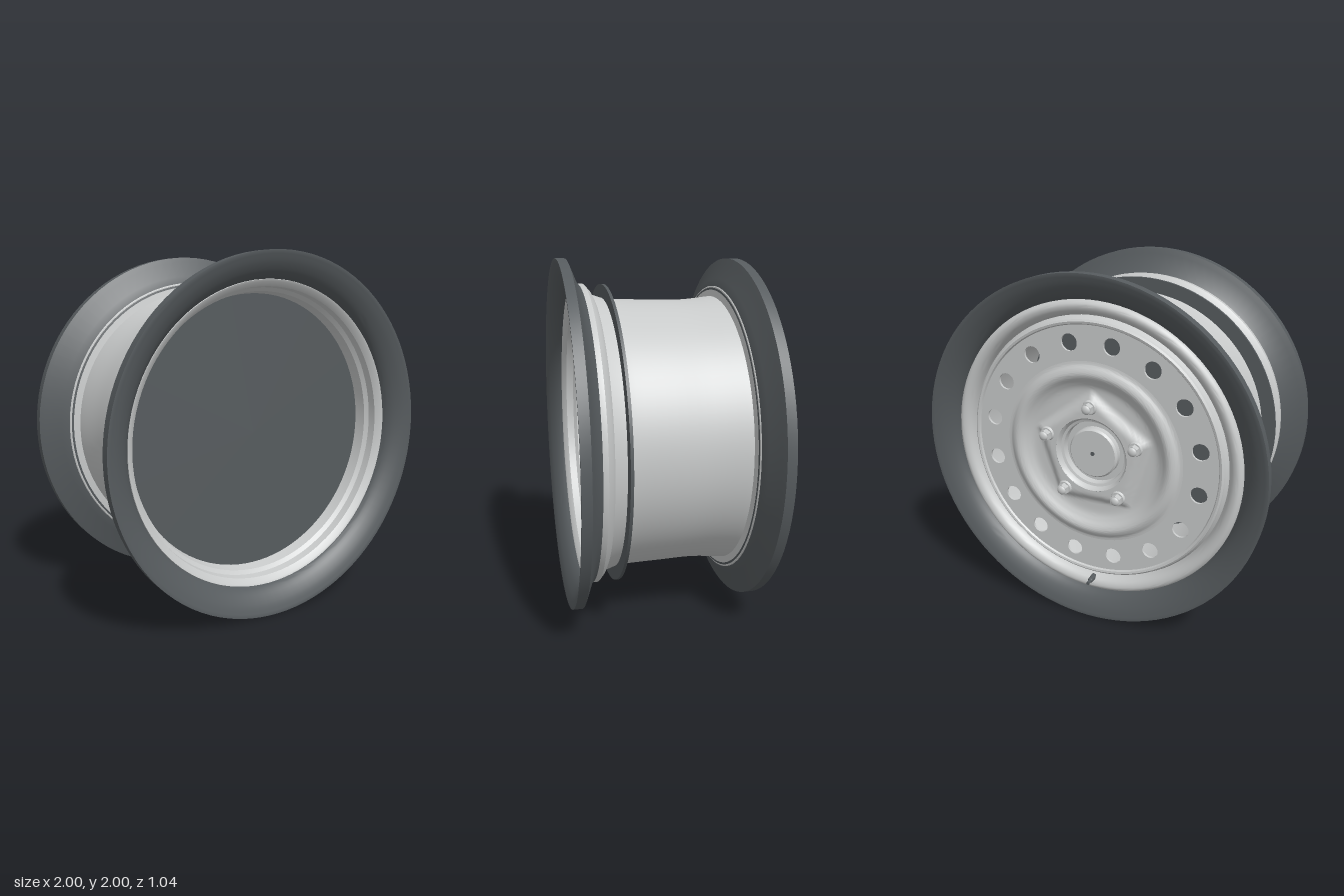
import * as THREE from 'three';
import { toCreasedNormals } from 'three/addons/utils/BufferGeometryUtils.js';

const silver = new THREE.MeshStandardMaterial({ color: 0xc8caca, side: THREE.DoubleSide });
silver.name = 'silver metal';
const dark = new THREE.MeshStandardMaterial({ color: 0x565b5e, side: THREE.DoubleSide });
dark.name = 'dark rubber';

export function createModel() {
  const model = new THREE.Group();
  const wheel = new THREE.Group();
  wheel.name = 'wheel';
  wheel.position.y = 1;
  model.add(wheel);

  const add = (name, geometry, material, x = 0, y = 0, z = 0) => {
    const mesh = new THREE.Mesh(geometry, material);
    mesh.name = name;
    mesh.position.set(x, y, z);
    wheel.add(mesh);
    return mesh;
  };
  // profile of [radius, z] pairs turned about the z axis
  const turn = (profile, segments = 96) =>
    new THREE.LatheGeometry(profile.map(([r, z]) => new THREE.Vector2(r, z)), segments).rotateX(Math.PI / 2);
  const turned = (name, profile, material, segments) =>
    add(name, toCreasedNormals(turn(profile, segments), 0.6), material);
  const smooth = (points, count) =>
    new THREE.SplineCurve(points.map(([r, z]) => new THREE.Vector2(r, z))).getPoints(count).map((p) => [p.x, p.y]);

  // flared dark rings on both ends
  for (const side of [1, -1]) {
    const base = side > 0 ? 0.84 : 0.78;
    const profile = [
      [base, 0.39], [0.83 + (side > 0 ? 0.025 : 0), 0.392], [0.885, 0.42], [0.97, 0.455], [1, 0.468], [1, 0.52], [0.99, 0.52],
      ...smooth([[0.99, 0.52], [0.94, 0.502], [0.89, 0.47], [0.86, 0.435], [0.85, 0.405]], 14).slice(1),
      [base, 0.39],
    ];
    turned(side > 0 ? 'frontFlare' : 'backFlare', profile.map(([r, z]) => [r, z * side]), dark);
  }

  // barrel shell with front bead and rolled back lip
  turned('barrel', [
    [0.852, 0.425], [0.862, 0.395], [0.862, 0.37], [0.835, 0.345], [0.805, 0.33],
    ...smooth([[0.785, 0.27], [0.775, 0.2], [0.77, 0], [0.767, -0.2], [0.785, -0.385]], 16),
    [0.84, -0.395], [0.855, -0.41], [0.855, -0.43],
    ...smooth([[0.85, -0.442], [0.83, -0.455], [0.80, -0.447], [0.778, -0.42], [0.768, -0.38]], 12),
    [0.755, -0.2], [0.758, 0], [0.765, 0.2], [0.78, 0.27], [0.79, 0.33], [0.81, 0.35], [0.815, 0.395], [0.84, 0.42], [0.852, 0.425],
  ], silver);

  // thin dark disc closing the barrel
  turned('innerDisc', [[0, 0.249], [0.86, 0.249], [0.86, 0.265], [0, 0.265]], dark);

  // outer bead of the wheel face
  turned('faceBead', [
    [0.77, -0.37], [0.768, -0.39], [0.757, -0.405], [0.752, -0.425], [0.742, -0.433],
    [0.73, -0.43], [0.724, -0.42], [0.71, -0.42],
  ], silver);

  // flat band with sixteen vent holes
  const band = new THREE.Shape().absarc(0, 0, 0.722, 0, Math.PI * 2);
  band.holes.push(new THREE.Path().absarc(0, 0, 0.525, 0, Math.PI * 2, true));
  for (let i = 0; i < 16; i++) {
    const a = ((i + 0.5) / 16) * Math.PI * 2;
    band.holes.push(new THREE.Path().absarc(0.632 * Math.sin(a), 0.632 * Math.cos(a), 0.047, 0, Math.PI * 2, true));
  }
  add('ventBand', new THREE.ExtrudeGeometry(band, { depth: 0.014, bevelEnabled: false, curveSegments: 48 }), silver, 0, 0, -0.42);

  // dished centre with a raised five-sided pad
  const dish = turn(smooth([
    [0.215, -0.4], [0.3, -0.4], [0.37, -0.402], [0.41, -0.418], [0.44, -0.438], [0.465, -0.445],
    [0.49, -0.437], [0.51, -0.424], [0.53, -0.42],
  ], 40), 120);
  const pos = dish.attributes.position;
  const step = (Math.PI * 2) / 5;
  for (let i = 0; i < pos.count; i++) {
    const x = pos.getX(i), y = pos.getY(i);
    const a = (Math.atan2(x, y) + Math.PI * 4) % step - step / 2;
    const edge = Math.hypot(x, y) * Math.cos(a);
    pos.setZ(i, pos.getZ(i) - 0.037 * (1 - THREE.MathUtils.smoothstep(edge, 0.245, 0.3)));
  }
  add('centreDish', toCreasedNormals(dish, 0.9), silver);

  // hub well and cap
  turned('hubWell', [[0.215, -0.437], [0.207, -0.43], [0.2, -0.405], [0.185, -0.4], [0.18, -0.365], [0, -0.365]], silver, 64);
  turned('hubCap', [[0.145, -0.36], [0.145, -0.4], [0.135, -0.412], [0, -0.412]], silver, 64);
  add('capHole', new THREE.CylinderGeometry(0.012, 0.012, 0.006, 20).rotateX(Math.PI / 2), dark, 0, 0, -0.412);

  // five wheel nuts
  for (let i = 0; i < 5; i++) {
    const x = 0.28 * Math.sin(i * step), y = 0.28 * Math.cos(i * step);
    const nut = new THREE.CylinderGeometry(0.031, 0.031, 0.04, 6).rotateX(Math.PI / 2);
    add('nutCollar' + i, new THREE.CylinderGeometry(0.042, 0.036, 0.012, 24).rotateX(Math.PI / 2), silver, x, y, -0.442);
    add('nut' + i, toCreasedNormals(nut, 0.5), silver, x, y, -0.462);
    add('nutDome' + i, new THREE.SphereGeometry(0.026, 20, 12), silver, x, y, -0.48).scale.z = 0.6;
  }

  // valve stem at the bottom
  turned('valve', [[0, -0.505], [0.01, -0.505], [0.01, -0.475], [0.015, -0.47], [0.018, -0.42]], dark, 16).position.y = -0.79;

  return model;
}
